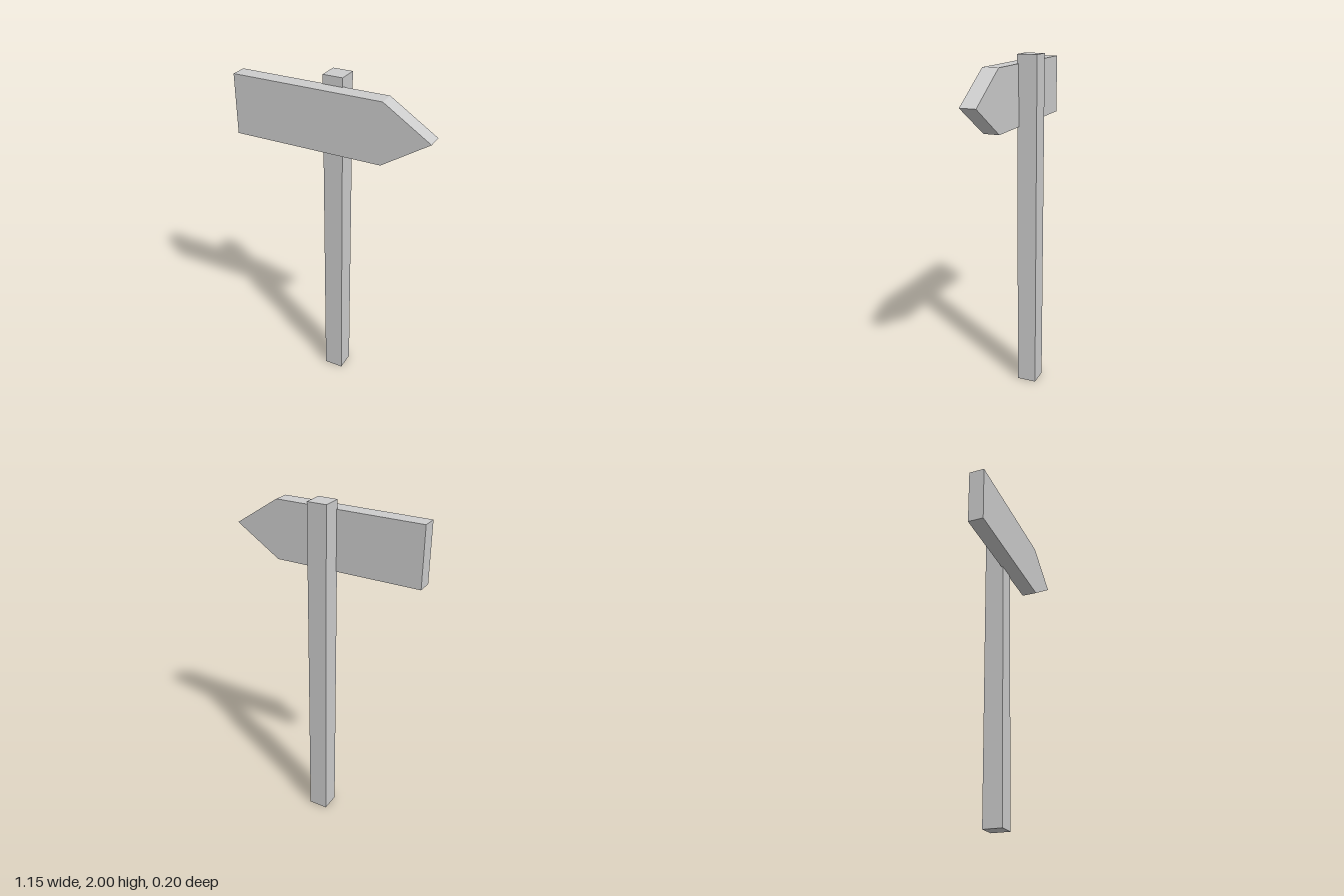
import * as THREE from 'three';

export function createModel() {
  const grey = new THREE.MeshStandardMaterial({ color: 0xcccccc });
  grey.name = 'plain grey';
  const model = new THREE.Group();
  model.name = 'signpost';

  // Square upright post
  const post = new THREE.Mesh(new THREE.BoxGeometry(0.116, 2, 0.116), grey);
  post.name = 'post';
  post.position.set(-0.015, 1, -0.042);
  model.add(post);

  // Arrow-shaped board, pointing to +x and fixed to the front of the post
  const outline = new THREE.Shape([
    [-0.573, 1.603], [0.305, 1.603], [0.573, 1.776], [0.305, 1.949], [-0.573, 1.949],
  ].map(([x, y]) => new THREE.Vector2(x, y)));
  const board = new THREE.Mesh(
    new THREE.ExtrudeGeometry(outline, { depth: 0.093, bevelEnabled: false }), grey);
  board.name = 'arrowBoard';
  board.position.z = 0.007;
  model.add(board);

  return model;
}
